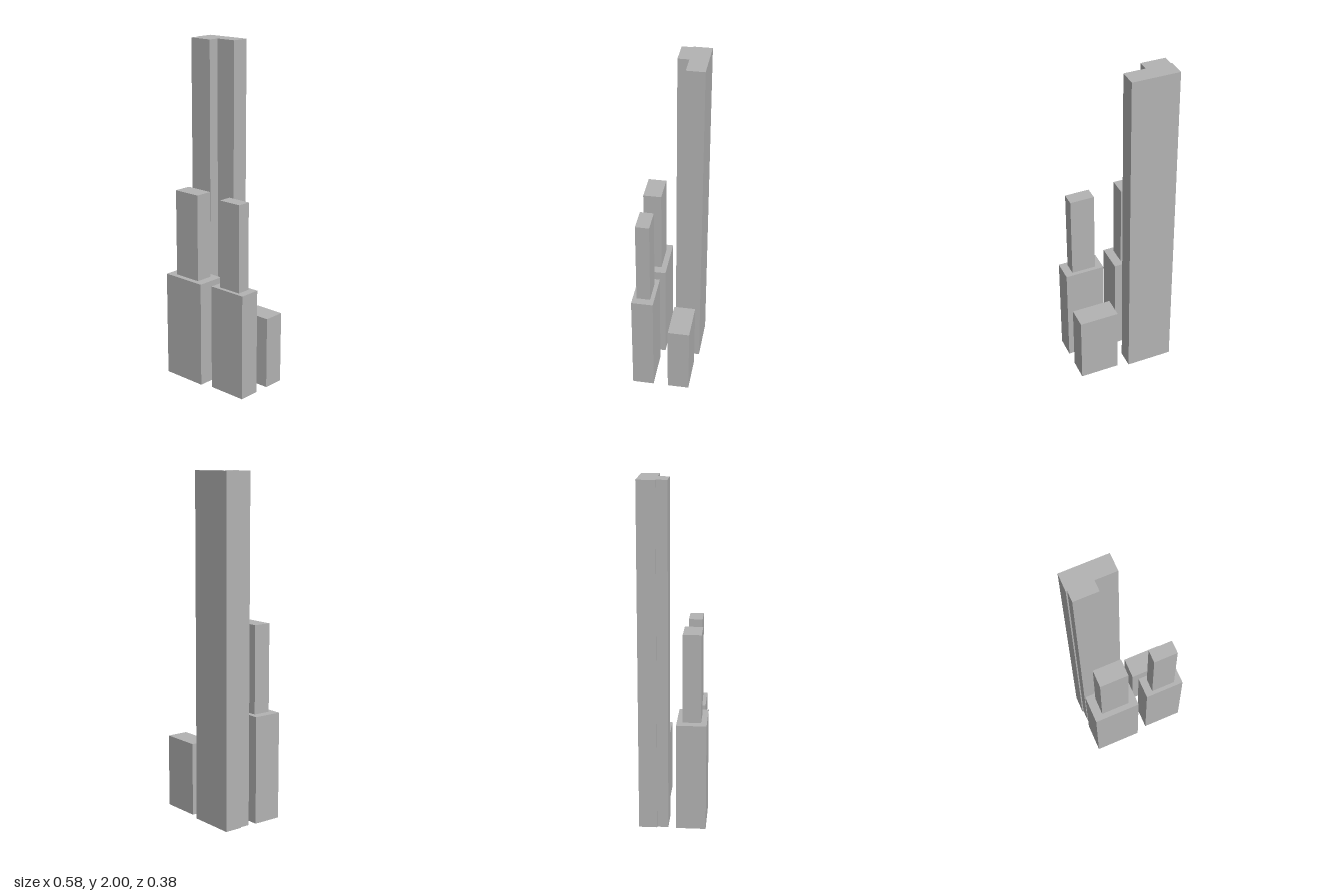
import * as THREE from 'three';

export function createModel() {
  const group = new THREE.Group();
  group.name = 'towerCluster';
  const concrete = new THREE.MeshStandardMaterial({ color: 0xb2b2b2 });
  concrete.name = 'concrete grey';

  // Box between two opposite corners
  const block = (name, x0, x1, y0, y1, z0, z1) => {
    const mesh = new THREE.Mesh(new THREE.BoxGeometry(x1 - x0, y1 - y0, z1 - z0), concrete);
    mesh.position.set((x0 + x1) / 2, (y0 + y1) / 2, (z0 + z1) / 2);
    mesh.name = name;
    group.add(mesh);
  };

  // Tall tower: a main slab with a narrower front wing, extruded from its plan (x, -z)
  const plan = new THREE.Shape([
    [-0.29, 0.088], [-0.282, 0.088], [-0.282, 0.024], [-0.138, 0.024],
    [-0.138, 0.088], [-0.012, 0.088], [-0.012, 0.193], [-0.29, 0.193],
  ].map(([x, y]) => new THREE.Vector2(x, y)));
  const tower = new THREE.Mesh(
    new THREE.ExtrudeGeometry(plan, { depth: 2, bevelEnabled: false }).rotateX(-Math.PI / 2),
    concrete,
  );
  tower.name = 'tallTower';
  group.add(tower);

  // Front stepped towers: wide base with a slimmer upper shaft
  block('rightTowerBase', -0.29, -0.012, 0, 0.63, 0.021, 0.192);
  block('rightTowerShaft', -0.237, -0.065, 0.63, 1.145, 0.054, 0.159);
  block('leftTowerBase', 0.053, 0.29, 0, 0.63, 0.043, 0.17);
  block('leftTowerShaft', 0.098, 0.243, 0.63, 1.145, 0.067, 0.147);

  // Low block behind
  block('lowBlock', 0.053, 0.29, 0, 0.43, -0.172, -0.045);

  return group;
}
